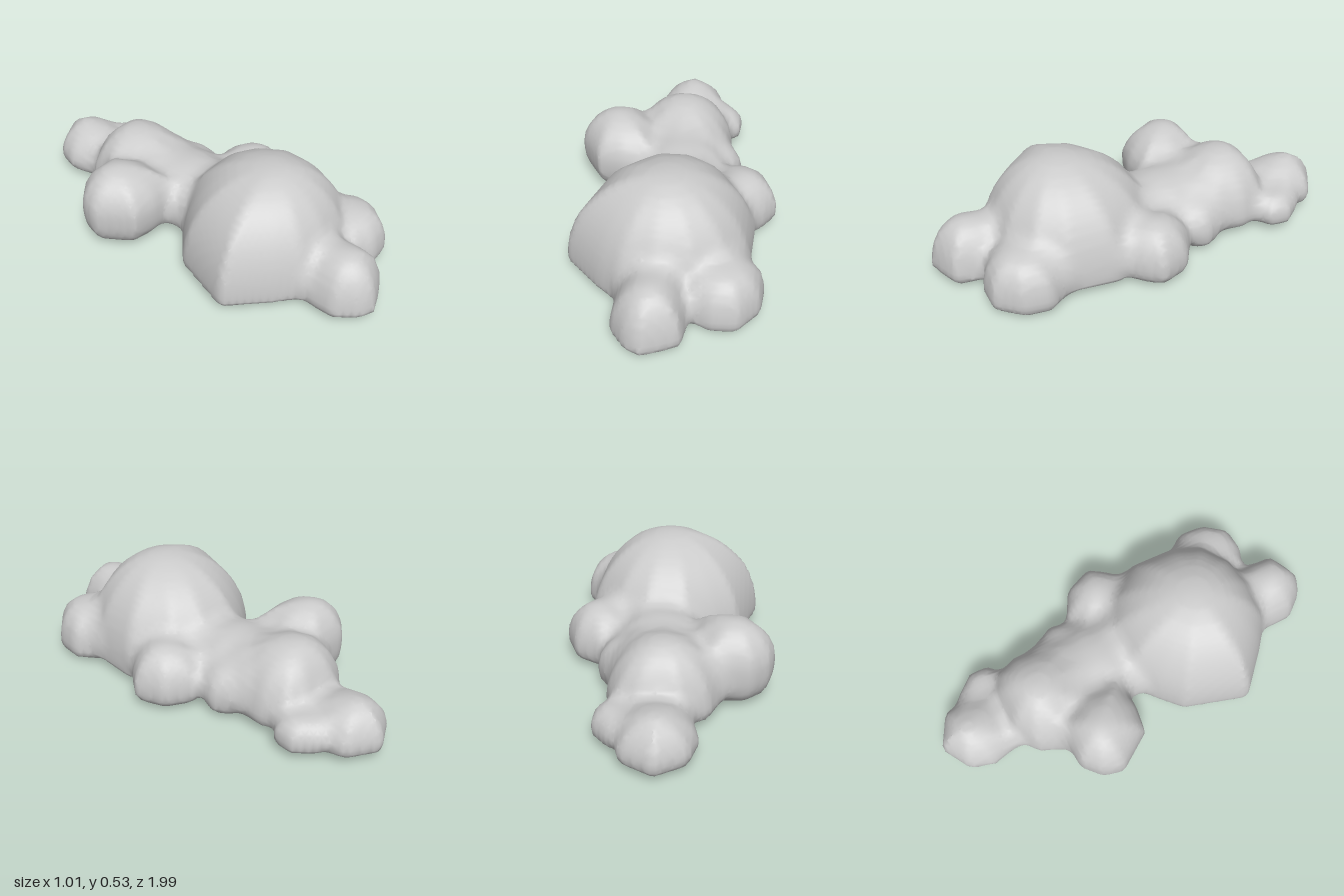
import * as THREE from 'three';

// Each lobe: centre (x, z), heights of its base, widest level and top, roundness
// (2 = round, higher = boxier), and a convex plan outline (front -> left -> back -> right)
const LOBES = {
  mainDome: { c: [0.01, 0.38], y: [0.015, 0.08, 0.55], n: 2.05, plan: [[0, 0.74], [0.18, 0.71], [0.33, 0.61],
    [0.4, 0.45], [0.41, 0.22], [0.28, 0.02], [0.12, -0.07], [-0.1, -0.06], [-0.24, 0.05], [-0.35, 0.15],
    [-0.45, 0.46], [-0.27, 0.63], [-0.17, 0.71]] },
  frontLobe: { c: [0, 0.83], y: [0.03, 0.06, 0.31], n: 2.1, plan: [[-0.03, 1], [0.06, 0.965], [0.145, 0.92],
    [0.155, 0.78], [0.13, 0.56], [-0.13, 0.56], [-0.175, 0.76], [-0.175, 0.87], [-0.1, 0.965]] },
  frontLeftLobe: { c: [0.3, 0.65], y: [0.02, 0.07, 0.285], n: 2.4, plan: [[0.25, 0.82], [0.37, 0.81], [0.465, 0.69],
    [0.475, 0.56], [0.39, 0.45], [0.26, 0.42], [0.14, 0.52], [0.14, 0.77]] },
  middleLeftLobe: { c: [0.34, 0.02], y: [0.02, 0.12, 0.31], n: 2, plan: [[0.38, 0.2], [0.45, 0.13], [0.51, 0.04],
    [0.45, -0.1], [0.32, -0.17], [0.18, -0.14], [0.13, 0.03], [0.2, 0.2]] },
  saddle: { c: [0.02, -0.16], y: [0.04, 0.12, 0.335], n: 2.2, plan: [[0, 0.14], [0.22, 0.08], [0.26, -0.15],
    [0.22, -0.4], [0, -0.48], [-0.2, -0.4], [-0.22, -0.2], [-0.18, 0]] },
  smallLeftLobe: { c: [0.22, -0.27], y: [0.03, 0.12, 0.25], n: 2, plan: [[0.22, -0.15], [0.29, -0.18],
    [0.32, -0.27], [0.27, -0.35], [0.18, -0.4], [0.1, -0.28]] },
  rightLobe: { c: [-0.32, -0.3], y: [0.02, 0.22, 0.41], n: 1.9, plan: [[-0.27, -0.08], [-0.12, -0.1], [-0.1, -0.28],
    [-0.2, -0.455], [-0.4, -0.45], [-0.49, -0.37], [-0.515, -0.27], [-0.4, -0.1]] },
  rearBody: { c: [-0.01, -0.48], y: [0.035, 0.1, 0.4], n: 2, plan: [[0, -0.16], [0.18, -0.22], [0.24, -0.35],
    [0.25, -0.5], [0.2, -0.62], [0.11, -0.67], [-0.1, -0.67], [-0.22, -0.59], [-0.28, -0.45], [-0.2, -0.25]] },
  rearLeftLobe: { c: [0.2, -0.7], y: [0.04, 0.1, 0.2], n: 2, plan: [[0.18, -0.55], [0.285, -0.63], [0.29, -0.73],
    [0.21, -0.82], [0.1, -0.82], [0.06, -0.68]] },
  tailLobe: { c: [0, -0.86], y: [0.03, 0.11, 0.27], n: 1.7, plan: [[0, -0.58], [0.12, -0.62], [0.19, -0.78],
    [0.155, -0.92], [0, -1.005], [-0.145, -0.92], [-0.18, -0.8], [-0.14, -0.63]] },
};

// Approximate signed distance to one lobe (negative inside)
function lobeDistance({ c: [cx, cz], y: [base, mid, top], n, plan }, x, y, z) {
  const dx = x - cx, dz = z - cz, dy = y - mid;
  let r = 0;
  plan.forEach(([ax, az], i) => {
    const [bx, bz] = plan[(i + 1) % plan.length], ex = bx - ax, ez = bz - az;
    r = Math.max(r, (dx * ez - dz * ex) / ((ax - cx) * ez - (az - cz) * ex));
  });
  const t = dy > 0 ? dy / (top - mid) : dy / (base - mid);
  const p = dy > 0 ? n : 2.8;
  const q = Math.max((r ** p + t ** p) ** (1 / p), 0.01);
  return Math.hypot(dx, dy, dz) * (1 - 1 / q);
}

// Smooth union of all lobes; the blend fades out towards the flat underside
function field(x, y, z) {
  const k = THREE.MathUtils.clamp(0.01 + 0.5 * y, 0.01, 0.075);
  return Object.values(LOBES).map((l) => lobeDistance(l, x, y, z)).reduce((a, b) => {
    const h = Math.max(k - Math.abs(a - b), 0) / k;
    return Math.min(a, b) - h * h * k / 4;
  });
}

// Skin the zero level of the field: one vertex per crossed cell, one quad per crossed edge
function skin(f, min, size, step) {
  const dims = size.map((s) => Math.ceil(s / step) + 1);
  const stride = [1, dims[0], dims[0] * dims[1]];
  const at = (i, a) => Math.floor(i / stride[a]) % dims[a];
  const point = (i) => min.map((m, a) => m + at(i, a) * step);
  const count = dims[0] * dims[1] * dims[2];
  const values = Float32Array.from({ length: count }, (_, i) => f(...point(i)));
  const crossed = (i, j) => (values[i] < 0) !== (values[j] < 0);

  const pos = [], index = [], cellVertex = new Map();
  for (let i = 0; i < count; i++) {
    if (dims.some((d, a) => at(i, a) === d - 1)) continue;
    const sum = [0, 0, 0];
    let hits = 0;
    for (let a = 0; a < 3; a++) {
      const b = stride[(a + 1) % 3], c = stride[(a + 2) % 3];
      for (const s of [i, i + b, i + c, i + b + c]) {
        const e = s + stride[a];
        if (!crossed(s, e)) continue;
        const t = values[s] / (values[s] - values[e]);
        point(s).forEach((v, k) => { sum[k] += v + (k === a ? t * step : 0); });
        hits++;
      }
    }
    if (hits === 0) continue;
    cellVertex.set(i, pos.length / 3);
    pos.push(...sum.map((v) => v / hits));
  }
  for (const i of cellVertex.keys()) {
    for (let a = 0; a < 3; a++) {
      if (!crossed(i, i + stride[a])) continue;
      const b = stride[(a + 1) % 3], c = stride[(a + 2) % 3];
      const quad = [i - b - c, i - c, i, i - b].map((cell) => cellVertex.get(cell));
      if (values[i] >= 0) quad.reverse();
      const [p, q, r, s] = quad;
      index.push(p, q, r, p, r, s);
    }
  }
  const geo = new THREE.BufferGeometry();
  geo.setAttribute('position', new THREE.Float32BufferAttribute(pos, 3));
  geo.setIndex(index);
  geo.computeVertexNormals();
  return geo;
}

export function createModel() {
  const group = new THREE.Group();
  group.name = 'lumpyMound';
  const geo = skin(field, [-0.6, -0.06, -1.08], [1.2, 0.7, 2.16], 0.025);
  const mound = new THREE.Mesh(geo, new THREE.MeshStandardMaterial({ color: 0xcccccc }));
  mound.name = 'blendedLobes';
  group.add(mound);
  return group;
}
